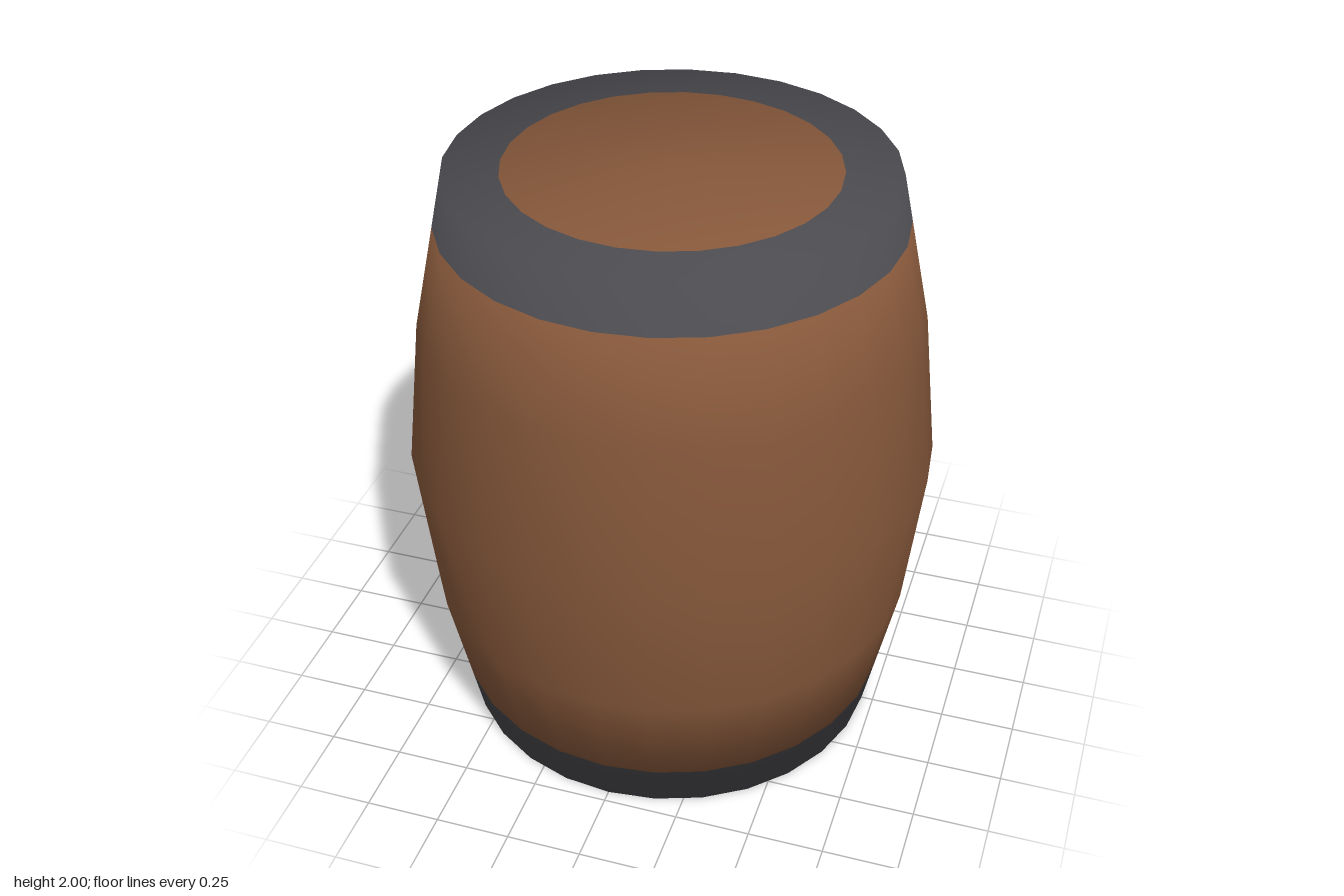
import * as THREE from 'three';

const SIDES = 28;

// Half profile of the barrel from the bottom centre upwards:
// radius, height, then outward and upward parts of the smooth normal.
const LOWER = [
  [0, 0, 0, -1],
  [0.71, 0, 0.51, -0.86],
  [0.815, 0.5, 0.987, -0.157],
  [0.87, 1, 1, 0],
];
const UPPER = LOWER.slice(0, 3).reverse().map(([r, y, nr, ny]) => [r, 2 - y, nr, -ny]);
const PROFILE = [...LOWER, ...UPPER];

// Point on the profile between station i and the next one.
function station(i, t = 0) {
  const a = PROFILE[i];
  const b = PROFILE[Math.min(i + 1, PROFILE.length - 1)];
  return a.map((v, k) => v + (b[k] - v) * t);
}

// Revolves stations into a faceted shell with soft shading carried over the rims.
function shell(name, stations, material) {
  const points = stations.map(([r, y]) => new THREE.Vector2(r, y));
  const geometry = new THREE.LatheGeometry(points, SIDES);
  const normals = geometry.attributes.normal;
  const n = new THREE.Vector3();
  for (let i = 0; i < normals.count; i++) {
    const angle = Math.floor(i / stations.length) / SIDES * Math.PI * 2;
    const [, , nr, ny] = stations[i % stations.length];
    n.set(nr * Math.sin(angle), ny, nr * Math.cos(angle)).normalize();
    normals.setXYZ(i, n.x, n.y, n.z);
  }
  const mesh = new THREE.Mesh(geometry, material);
  mesh.name = name;
  return mesh;
}

export function createModel() {
  const wood = new THREE.MeshStandardMaterial({ name: 'brown wood', color: 0x85573a });
  const iron = new THREE.MeshStandardMaterial({ name: 'dark iron', color: 0x4a4a4f });

  // Where the wood meets the iron, on the lids and on the walls.
  const lid = 0.53 / 0.71;
  const hoop = 0.31;
  const bottomLidEdge = station(0, lid);
  const bottomHoopEdge = station(1, hoop);
  const topHoopEdge = station(4, 1 - hoop);
  const topLidEdge = station(5, 1 - lid);

  const barrel = new THREE.Group();
  barrel.name = 'barrel';
  barrel.add(
    shell('bottomLid', [station(0), bottomLidEdge], wood),
    shell('bottomHoop', [bottomLidEdge, station(1), bottomHoopEdge], iron),
    shell('staves', [bottomHoopEdge, station(2), station(3), station(4), topHoopEdge], wood),
    shell('topHoop', [topHoopEdge, station(5), topLidEdge], iron),
    shell('topLid', [topLidEdge, station(6)], wood),
  );
  return barrel;
}
